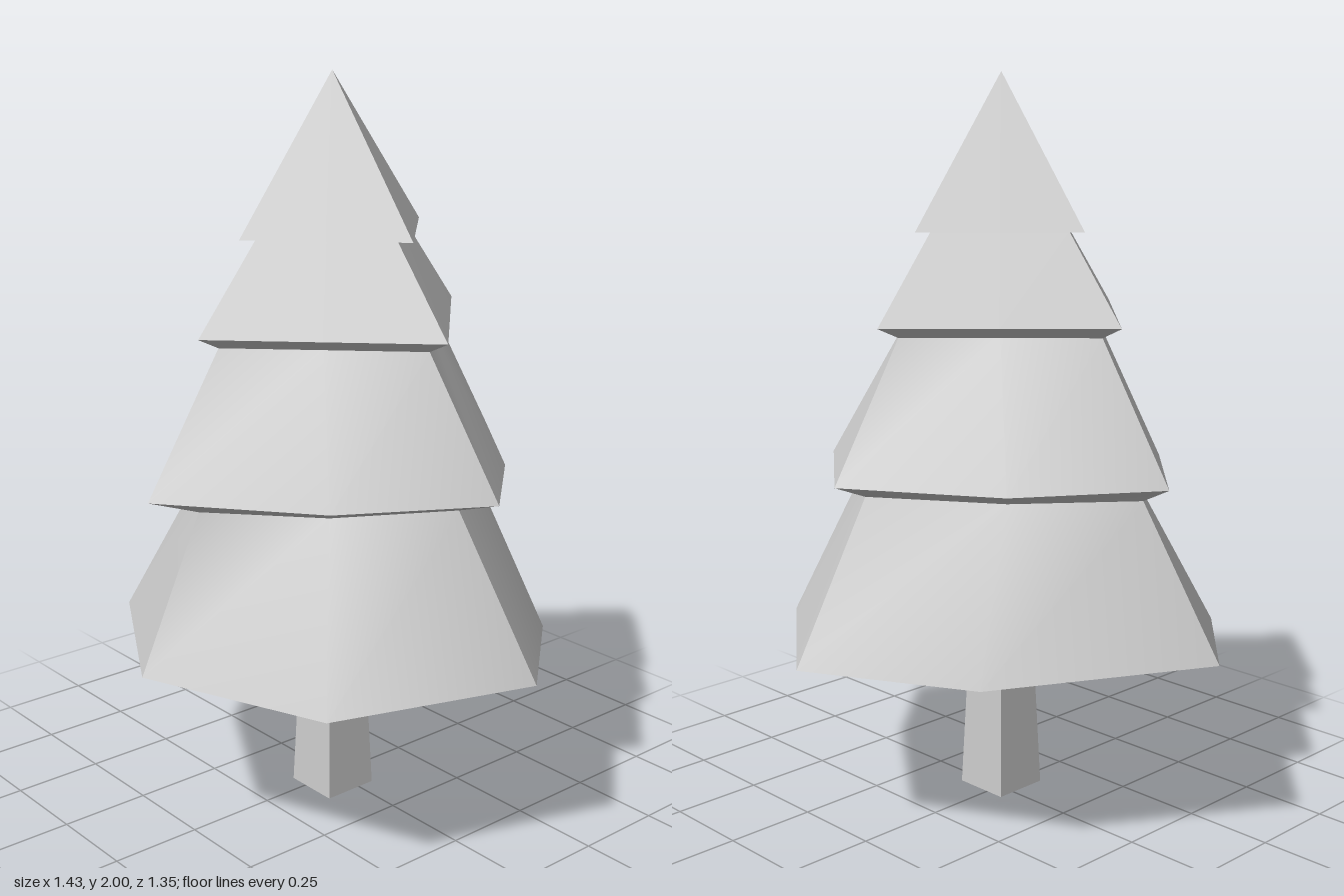
import * as THREE from 'three';
import { mergeGeometries } from 'three/addons/utils/BufferGeometryUtils.js';

const AXIS = [0.025, 0.03];

// Diamond ring from its four corner reaches, with a midpoint on each side.
function diamond(y, front, right, back, left) {
  const [cx, cz] = AXIS;
  const corners = [[cx, front], [right, cz], [cx, back], [left, cz]];
  const points = corners.flatMap((p, i) => {
    const q = corners[(i + 1) % 4];
    return [p, [(p[0] + q[0]) / 2, (p[1] + q[1]) / 2]];
  });
  return ring(y, points);
}

// Ring of eight [x, z] points: front, then towards +x, back and -x.
function ring(y, points) {
  return points.map(([x, z, h = y]) => new THREE.Vector3(x, h, z));
}

// Foliage cross-sections from the underside tip to the treetop.
function foliageRings() {
  const tip = Array(8).fill(AXIS);
  return [
    ring(0.365, tip),
    ring(0.51, [[0.03, 0.67], [0.535, 0.48], [0.715, -0.06], [0.46, -0.36],
      [0.05, -0.675], [-0.385, -0.445], [-0.715, 0.075, 0.53], [-0.425, 0.41]]),
    ring(0.93, [[0.07, 0.51], [0.32, 0.29], [0.485, 0], [0.3, -0.23],
      [0.03, -0.455], [-0.28, -0.25], [-0.5, 0.02], [-0.24, 0.27]]),
    ring(0.97, [[0.03, 0.635], [0.395, 0.35], [0.61, -0.015], [0.375, -0.28],
      [0.03, -0.555], [-0.35, -0.32], [-0.58, 0.025], [-0.29, 0.33]]),
    diamond(1.33, 0.405, 0.4, -0.34, -0.345),
    diamond(1.36, 0.467, 0.465, -0.41, -0.41),
    diamond(1.595, 0.28, 0.275, -0.225, -0.225),
    diamond(1.595, 0.335, 0.335, -0.28, -0.28),
    ring(2, tip),
  ];
}

// One smooth patch: a single side of the band between two rings.
function patch(lower, upper, side, isFirst, isLast) {
  const columns = [0, 1, 2].map(k => (side * 2 + k) % 8);
  const points = [...columns.map(c => lower[c]), ...columns.map(c => upper[c])];
  const index = [];
  for (let k = 0; k < 2; k++) {
    if (!isFirst) index.push(k, k + 1, k + 4);
    if (!isLast) index.push(k, k + 4, k + 3);
    else index.splice(-3, 3, k, k + 1, k + 3);
  }
  const geometry = new THREE.BufferGeometry().setFromPoints(points);
  geometry.setIndex(index);
  geometry.computeVertexNormals();
  return geometry;
}

export function createModel() {
  const tree = new THREE.Group();
  tree.name = 'pineTree';
  const material = new THREE.MeshStandardMaterial({ color: 0xcccccc });

  // Foliage: four smooth sides per band, sharp along corners and tier edges
  const rings = foliageRings();
  const patches = [];
  for (let r = 0; r < rings.length - 1; r++) {
    for (let side = 0; side < 4; side++) {
      patches.push(patch(rings[r], rings[r + 1], side, r === 0, r === rings.length - 2));
    }
  }
  const foliage = new THREE.Mesh(mergeGeometries(patches), material);
  foliage.name = 'foliage';
  tree.add(foliage);

  // Trunk: square, tapering into the underside of the foliage
  const trunkGeometry = new THREE.CylinderGeometry(0.065 * Math.SQRT2, 0.08 * Math.SQRT2, 0.4, 4);
  trunkGeometry.rotateY(Math.PI / 4);
  const trunk = new THREE.Mesh(trunkGeometry,
    new THREE.MeshStandardMaterial({ color: 0xcccccc, flatShading: true }));
  trunk.name = 'trunk';
  trunk.position.set(AXIS[0], 0.2, AXIS[1]);
  tree.add(trunk);

  return tree;
}
